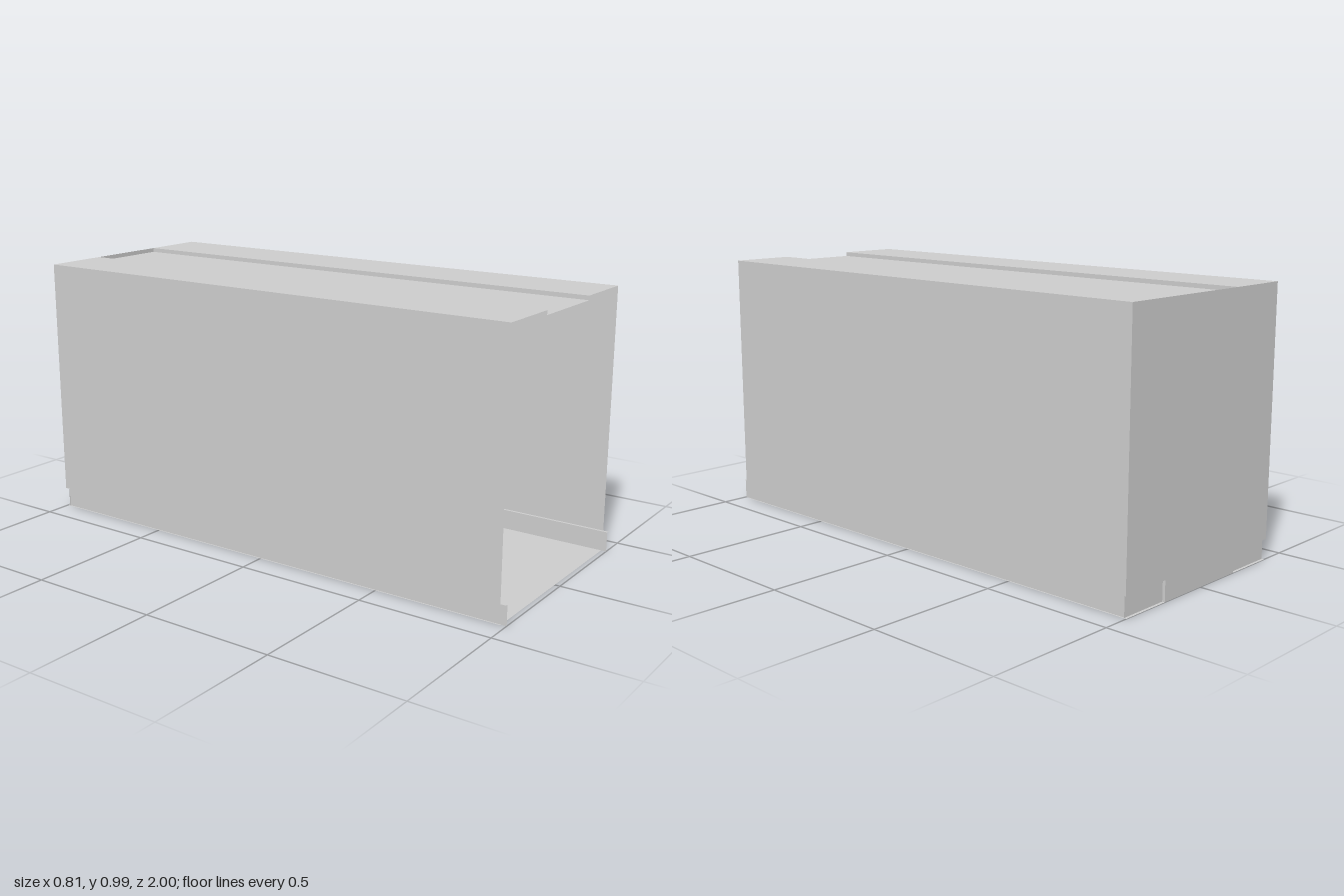
import * as THREE from 'three';

const grey = new THREE.MeshStandardMaterial({ color: 0xcccccc, side: THREE.DoubleSide });
const flat = new THREE.MeshStandardMaterial({ color: 0xcccccc, side: THREE.DoubleSide, flatShading: true });
const brass = new THREE.MeshStandardMaterial({ color: 0x86801a });
const iron = new THREE.MeshStandardMaterial({ color: 0x2a2a2a });

const W = 0.405, H = 0.99, BACK = -1, FRONT = 0.98;

export function createModel() {
  const root = new THREE.Group();

  const add = (name, geometry, x = 0, y = 0, z = 0, material = grey, parent = root) => {
    const mesh = new THREE.Mesh(geometry, material);
    mesh.name = name;
    mesh.position.set(x, y, z);
    parent.add(mesh);
    return mesh;
  };
  // Box given by its limits on each axis
  const box = (name, [x0, x1], [y0, y1], [z0, z1], material = grey, parent = root) =>
    add(name, new THREE.BoxGeometry(x1 - x0, y1 - y0, z1 - z0),
      (x0 + x1) / 2, (y0 + y1) / 2, (z0 + z1) / 2, material, parent);
  // Thin sheet running along z, with its cross-section in x and y
  const sheet = (name, a, b, z0, z1) => {
    const g = new THREE.PlaneGeometry(z1 - z0, Math.hypot(b[0] - a[0], b[1] - a[1]));
    g.rotateY(Math.PI / 2);
    g.rotateZ(Math.atan2(b[1] - a[1], b[0] - a[0]) - Math.PI / 2);
    return add(name, g, (a[0] + b[0]) / 2, (a[1] + b[1]) / 2, (z0 + z1) / 2);
  };

  // Shell: floor, stepped ceiling, side walls and inset skirting
  sheet('floor', [-0.4, 0], [0.4, 0], BACK, FRONT);
  sheet('ceilingCentre', [-0.16, 0.974], [0.16, 0.974], BACK, FRONT);
  for (const s of [-1, 1]) {
    const side = s > 0 ? 'left' : 'right';
    sheet(side + 'Ceiling', [s * 0.16, H], [s * W, H], BACK, FRONT);
    sheet(side + 'CeilingStep', [s * 0.16, 0.974], [s * 0.16, H], BACK, FRONT);
    sheet(side + 'Wall', [s * W, 0.075], [s * W, H], BACK, FRONT);
    sheet(side + 'Skirting', [s * 0.395, 0], [s * 0.395, 0.075], -0.99, 1);
    sheet(side + 'SkirtingTop', [s * 0.395, 0.075], [s * W, 0.075], BACK, 1);
    // Back wall skirting beside the door
    add(side + 'BackSkirting', new THREE.PlaneGeometry(0.2, 0.075), s * 0.298, 0.0375, -0.99);
    sheet(side + 'BackSkirtingTop', [s * 0.198, 0.075], [s * W, 0.075], BACK, -0.99);
    sheet(side + 'BackSkirtingEnd', [s * 0.198, 0], [s * 0.198, 0.075], BACK, -0.99);
  }
  const back = new THREE.Shape([[-W, 0.075], [-0.198, 0.075], [-0.198, 0], [0.198, 0],
    [0.198, 0.075], [W, 0.075], [W, H], [-W, H]].map(p => new THREE.Vector2(...p)));
  add('backWall', new THREE.ShapeGeometry(back), 0, 0, BACK);

  // Door with knob and hinges
  box('door', [-0.193, 0.193], [0, 0.74], [BACK + 0.001, -0.99]);
  add('doorKnob', new THREE.SphereGeometry(0.024, 24, 16), -0.138, 0.316, -0.945);
  const stem = add('knobStem', new THREE.CylinderGeometry(0.01, 0.01, 0.04, 16), -0.138, 0.316, -0.975);
  stem.rotation.x = Math.PI / 2;
  for (const y of [0.14, 0.38, 0.64]) box('hinge', [0.191, 0.2], [y - 0.028, y + 0.028], [-0.998, -0.98], brass);

  // Ceiling light
  box('lightBase', [-0.086, 0.086], [0.955, 0.973], [-0.086, 0.086]);
  box('lightPanel', [-0.06, 0.06], [0.947, 0.955], [-0.06, 0.06]);

  // Wall table with a board under its inner edge
  box('tableTop', [-W + 0.001, -0.193], [0.302, 0.375], [-0.38, 0.26]);
  box('tableApron', [-0.2, -0.194], [0.22, 0.302], [-0.31, 0.19]);

  // Round wall mirror: raised rim around a shallow disc
  const rim = [[0, 0], [0.24, 0], [0.24, 0.01], [0.232, 0.015], [0.215, 0.015], [0.208, 0.007], [0, 0.007]];
  const mirror = add('mirror', new THREE.LatheGeometry(rim.map(p => new THREE.Vector2(...p)), 48), -W + 0.001, 0.632, -0.06);
  mirror.rotation.z = -Math.PI / 2;

  // Telephone: sloped body, cradle and handset, from side profiles
  const phone = new THREE.Group();
  phone.name = 'telephone';
  phone.position.set(-0.293, 0.375, 0.135);
  root.add(phone);
  const profile = (name, points, depth, z) => {
    const shape = new THREE.Shape(points.map(p => new THREE.Vector2(...p)));
    const g = new THREE.ExtrudeGeometry(shape, { depth, bevelEnabled: false });
    g.translate(0, 0, -depth / 2);
    return add(name, g, 0, 0, z, flat, phone);
  };
  profile('phoneBody', [[-0.057, 0], [0.055, 0], [0.055, 0.006], [-0.057, 0.024]], 0.125, 0);
  profile('phoneCradle', [[-0.045, 0.02], [0.045, 0.008], [0.057, 0.044], [-0.033, 0.044]], 0.05, -0.03);
  const handset = profile('handset', [[-0.042, 0.018], [-0.022, 0.016], [-0.014, 0.026], [0.016, 0.022],
    [0.02, 0.01], [0.042, 0.008], [0.038, 0.026], [0.018, 0.036], [-0.022, 0.038], [-0.04, 0.03]], 0.024, 0.028);
  handset.rotation.y = -0.15;

  // Umbrella stand, open at the top
  const stand = new THREE.Group();
  stand.name = 'umbrellaStand';
  stand.position.set(0.31, 0, -0.55);
  root.add(stand);
  const tub = [[0, 0.001], [0.069, 0.001], [0.069, 0.29], [0.064, 0.29], [0.064, 0.012], [0, 0.012]];
  add('standTub', new THREE.LatheGeometry(tub.map(p => new THREE.Vector2(...p)), 40), 0, 0, 0, grey, stand);

  // Furled umbrella: flared cone whose top ring alternates between points and valleys
  const canopy = new THREE.CylinderGeometry(0.05, 0.014, 0.33, 16, 4, true);
  const p = canopy.attributes.position;
  for (let i = 0; i < p.count; i++) {
    const k = i % 17, row = Math.floor(i / 17);
    const a = (k / 16) * Math.PI * 2;
    const r = [0.046, 0.049, 0.038, 0.026, 0.01][row];
    const y = [k % 2 ? 0.385 : 0.34, 0.32, 0.27, 0.16, 0.03][row];
    const fold = row === 0 && !(k % 2) ? 0.85 : 1;
    p.setXYZ(i, Math.sin(a) * r * fold, y, Math.cos(a) * r * fold);
  }
  canopy.computeVertexNormals();
  add('umbrellaCanopy', canopy, -0.022, 0, 0, flat, stand);
  const crook = new THREE.CatmullRomCurve3([[0.0, 0.04], [-0.015, 0.34], [-0.016, 0.39], [-0.022, 0.413],
    [-0.04, 0.424], [-0.058, 0.416], [-0.064, 0.4]].map(([x, y]) => new THREE.Vector3(x, y, 0)));
  add('umbrellaHandle', new THREE.TubeGeometry(crook, 48, 0.007, 12), 0, 0, 0, grey, stand);
  add('handleTip', new THREE.SphereGeometry(0.007, 12, 8), -0.064, 0.4, 0, grey, stand);

  // Coat rack: board, small plates and curved hooks
  box('coatBoard', [0.396, W - 0.001], [0.525, 0.775], [-0.42, 0.18]);
  const hook = new THREE.CatmullRomCurve3([[0.392, 0.65], [0.375, 0.649], [0.36, 0.653], [0.353, 0.667]]
    .map(([x, y]) => new THREE.Vector3(x, y, 0)));
  for (const z of [-0.32, -0.12, 0.08]) {
    box('hookPlate', [0.39, 0.396], [0.61, 0.7], [z - 0.025, z + 0.025]);
    add('coatHook', new THREE.TubeGeometry(hook, 16, 0.005, 10), 0, 0, z, iron);
    add('hookTip', new THREE.SphereGeometry(0.005, 10, 8), 0.353, 0.667, z, iron);
  }

  return root;
}
